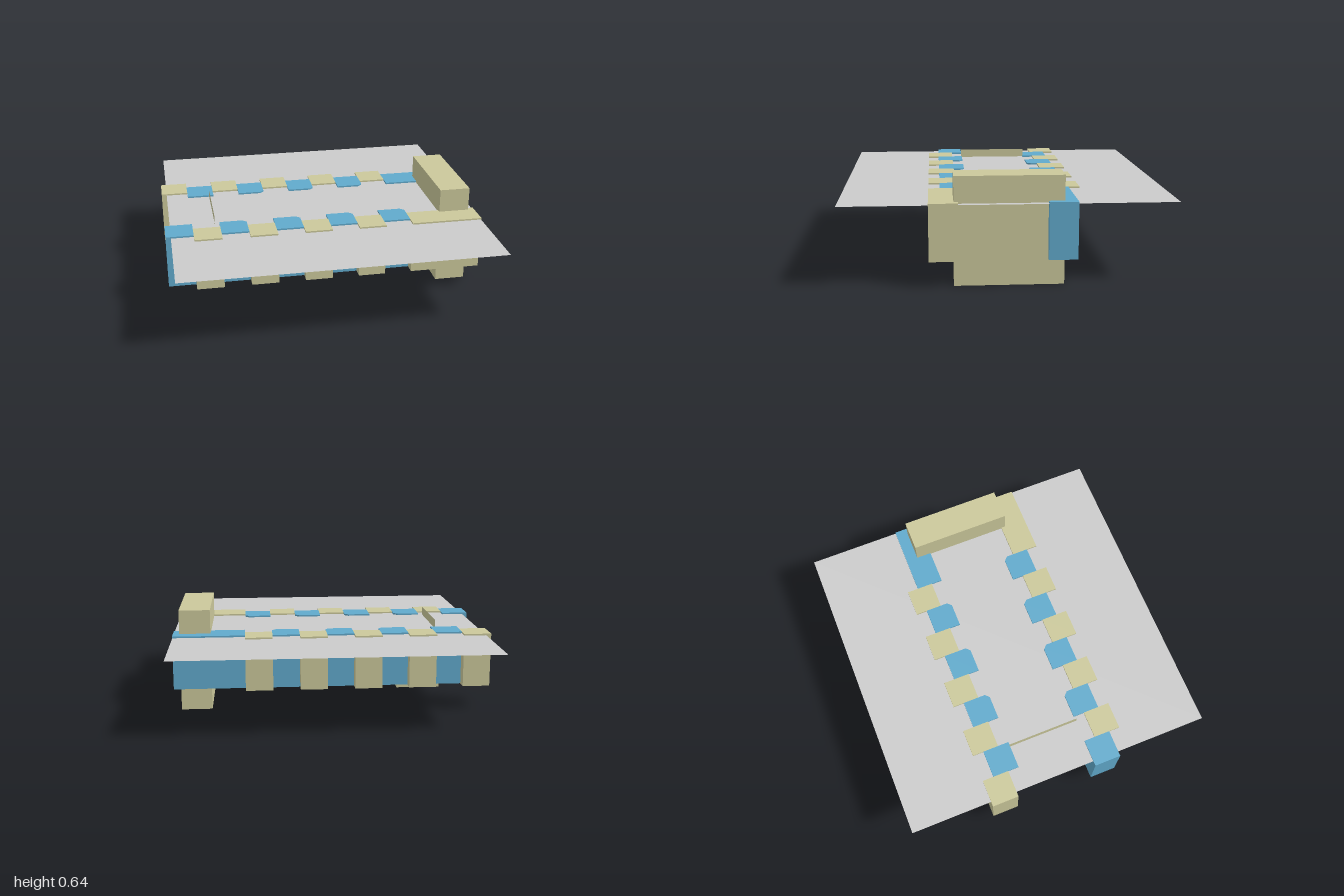
import * as THREE from 'three';

const mat = (color, side = THREE.FrontSide) => new THREE.MeshStandardMaterial({ color, side, flatShading: true });

export function createModel() {
  const model = new THREE.Group();
  const sand = mat(0xcbc89b), blue = mat(0x61aacc), red = mat(0xd01c1c);

  const add = (name, geometry, material) => {
    const mesh = new THREE.Mesh(geometry, material);
    mesh.name = name;
    model.add(mesh);
    return mesh;
  };
  // box given by its limits on each axis
  const block = (name, material, [x0, x1], [y0, y1], [z0, z1]) =>
    add(name, new THREE.BoxGeometry(x1 - x0, y1 - y0, z1 - z0), material)
      .position.set((x0 + x1) / 2, (y0 + y1) / 2, (z0 + z1) / 2);

  // upright block with its inner +x corner cut off
  const cutBlock = (name, material, [x0, x1], [y0, y1], inner, outer) => {
    const c = 0.025, step = Math.sign(outer - inner) * c;
    const shape = new THREE.Shape([
      [x0, -inner], [x1 - c, -inner], [x1, -(inner + step)], [x1, -outer], [x0, -outer],
    ].map(([x, y]) => new THREE.Vector2(x, y)));
    const geometry = new THREE.ExtrudeGeometry(shape, { depth: y1 - y0, bevelEnabled: false });
    geometry.rotateX(-Math.PI / 2).translate(0, y0, 0);
    add(name, geometry, material);
  };

  // ground sheet
  const sheet = add('groundSheet', new THREE.PlaneGeometry(1.965, 1.965), mat(0xcccccc, THREE.DoubleSide));
  sheet.rotation.x = -Math.PI / 2;
  sheet.position.set(0.015, 0.485, 0);

  // two walls of staggered blocks, colours swapped from one side to the other
  const height = [0.155, 0.495], pitch = 0.172;
  for (const side of [1, -1]) {
    const row = side > 0 ? 'front' : 'back';
    for (let i = 0; i < 10; i++) {
      const xs = [-1 + i * pitch, i === 9 ? 1 : -1 + (i + 1) * pitch];
      const isBlue = (i % 2 === 0) === (side > 0);
      if (isBlue && i > 1 && i < 9) {
        cutBlock(row + 'BlueBlock', blue, xs, height, side * 0.225, side * 0.395);
      } else {
        const [a, b] = isBlue ? [0.225, 0.395] : [0.295, 0.465];
        block(row + (isBlue ? 'BlueBlock' : 'SandBlock'), isBlue ? blue : sand, xs, height,
          side > 0 ? [a, b] : [-b, -a]);
      }
    }
  }

  // floor slab between the walls and the tall end block
  block('floorSlab', sand, [-0.68, 0.9], [0.2, 0.48], [-0.3, 0.3]);
  block('endBlock', sand, [0.765, 0.96], [0, 0.645], [-0.32, 0.32]);

  // thin upright gate across the passage
  const gate = add('gate', new THREE.PlaneGeometry(0.46, 0.34), mat(0xcbc89b, THREE.DoubleSide));
  gate.rotation.y = Math.PI / 2;
  gate.position.set(-0.685, 0.37, 0);

  // stepped tray under the gate with a red core
  block('trayBase', sand, [-0.72, -0.44], [0.09, 0.12], [-0.23, 0.23]);
  block('trayLip', sand, [-0.745, -0.7], [0.12, 0.155], [-0.23, 0.23]);
  for (const z of [-0.23, 0.21]) block('traySide', sand, [-0.7, -0.44], [0.12, 0.2], [z, z + 0.02]);
  block('trayCore', red, [-0.7, -0.45], [0.12, 0.24], [-0.21, 0.21]);

  return model;
}
